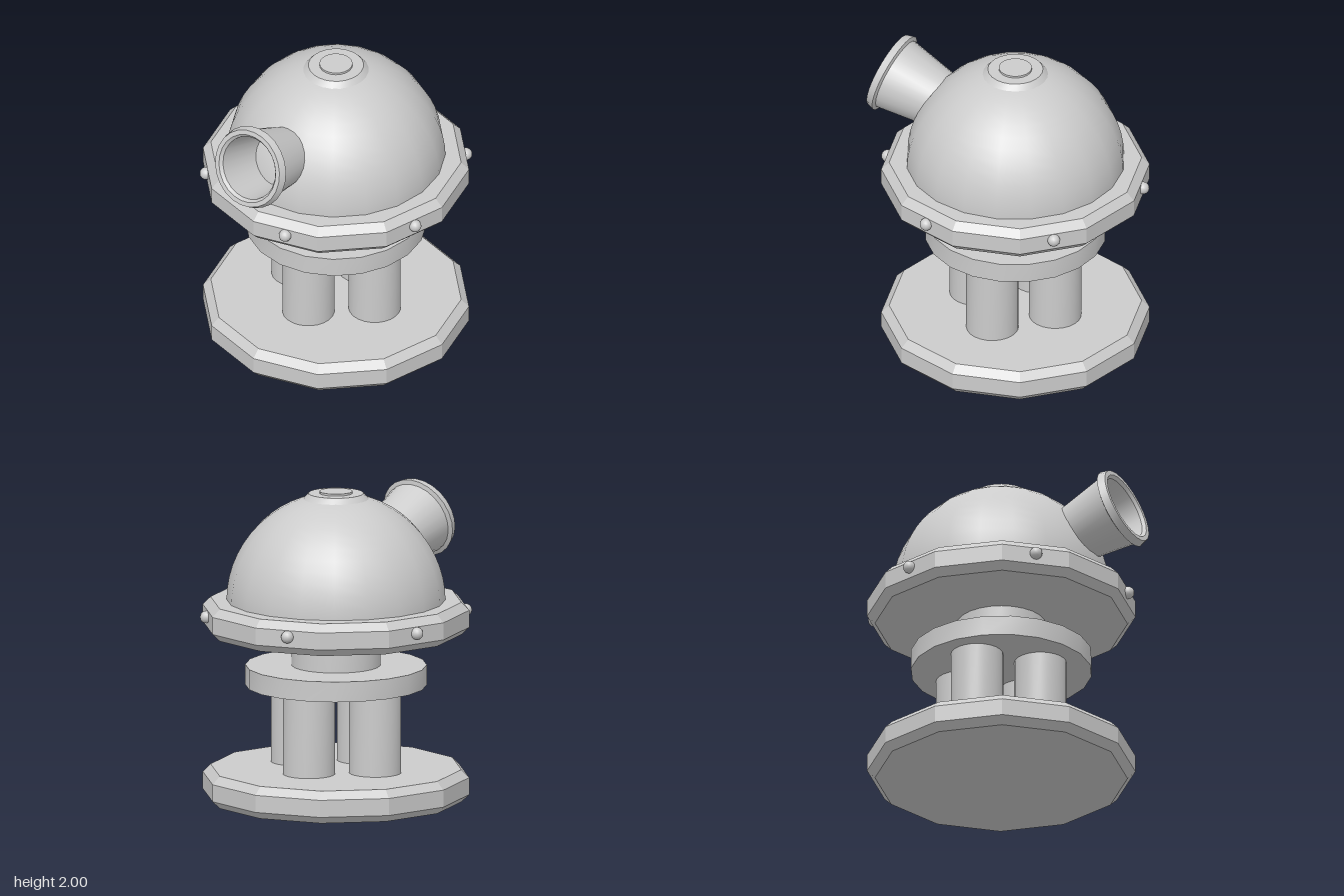
import * as THREE from 'three';
import { toCreasedNormals } from 'three/addons/utils/BufferGeometryUtils.js';

const smooth = new THREE.MeshStandardMaterial({ color: 0xcccccc });
const faceted = new THREE.MeshStandardMaterial({ color: 0xcccccc, flatShading: true });
const openTube = new THREE.MeshStandardMaterial({ color: 0xcccccc, side: THREE.DoubleSide });

export function createModel() {
  const model = new THREE.Group();
  model.name = 'domeTurret';
  const body = new THREE.Group(); // everything shares one axis, set back from the barrel
  body.name = 'body';
  body.position.z = -0.068;
  model.add(body);

  const add = (name, geometry, material, x = 0, y = 0, z = 0) => {
    const mesh = new THREE.Mesh(geometry, material);
    mesh.name = name;
    mesh.position.set(x, y, z);
    body.add(mesh);
    return mesh;
  };
  const lathe = (points, sides) =>
    new THREE.LatheGeometry(points.map(([r, y]) => new THREE.Vector2(r, y)), sides);
  const cylinder = (name, r, y0, y1, sides, x = 0, z = 0, rTop = r) =>
    add(name, toCreasedNormals(new THREE.CylinderGeometry(rTop, r, y1 - y0, sides), 0.6),
      smooth, x, (y0 + y1) / 2, z);

  // Bevelled twelve-sided plates: foot and dome ring
  const plate = lathe([[0, 0], [0.8, 0.012], [0.85, 0.06], [0.85, 0.17], [0.8, 0.22], [0, 0.222]], 12);
  add('basePlate', plate, faceted);
  add('domeRing', plate, faceted, 0, 1.08, 0);

  // Four columns in a cross
  for (const [x, z] of [[0.31, 0], [-0.31, 0], [0, 0.285], [0, -0.285]]) {
    cylinder('column', 0.166, 0.2, 0.77, 24, x, z);
  }

  // Collar disc and neck
  cylinder('collar', 0.575, 0.75, 0.88, 20);
  cylinder('neck', 0.283, 0.86, 1.1, 24);

  // Rivets around the dome ring
  for (let i = 0; i < 6; i++) {
    const a = Math.PI / 12 + (i * Math.PI) / 3;
    add('rivet', new THREE.SphereGeometry(0.04, 14, 10), smooth,
      0.83 * Math.cos(a), 1.21, 0.83 * Math.sin(a));
  }

  // Dome with a stepped cap
  add('dome', new THREE.SphereGeometry(0.694, 20, 14, 0, Math.PI * 2, 0, Math.PI / 2), smooth, 0, 1.29, 0);
  cylinder('cap', 0.208, 1.95, 1.987, 24, 0, 0, 0.175);
  cylinder('capButton', 0.105, 1.98, 2, 20);

  // Flared hollow barrel, tilted upward; its open rear end lies inside the dome
  const barrelProfile = [
    [0.17, -0.5], [0.24, -0.06], [0.267, -0.05], [0.252, 0],
    [0.222, 0], [0.205, -0.02], [0.158, -0.5],
  ];
  const barrel = add('barrel', toCreasedNormals(lathe(barrelProfile, 24), 0.5), openTube, 0, 1.705, 0.915);
  barrel.rotation.x = THREE.MathUtils.degToRad(73);

  return model;
}
